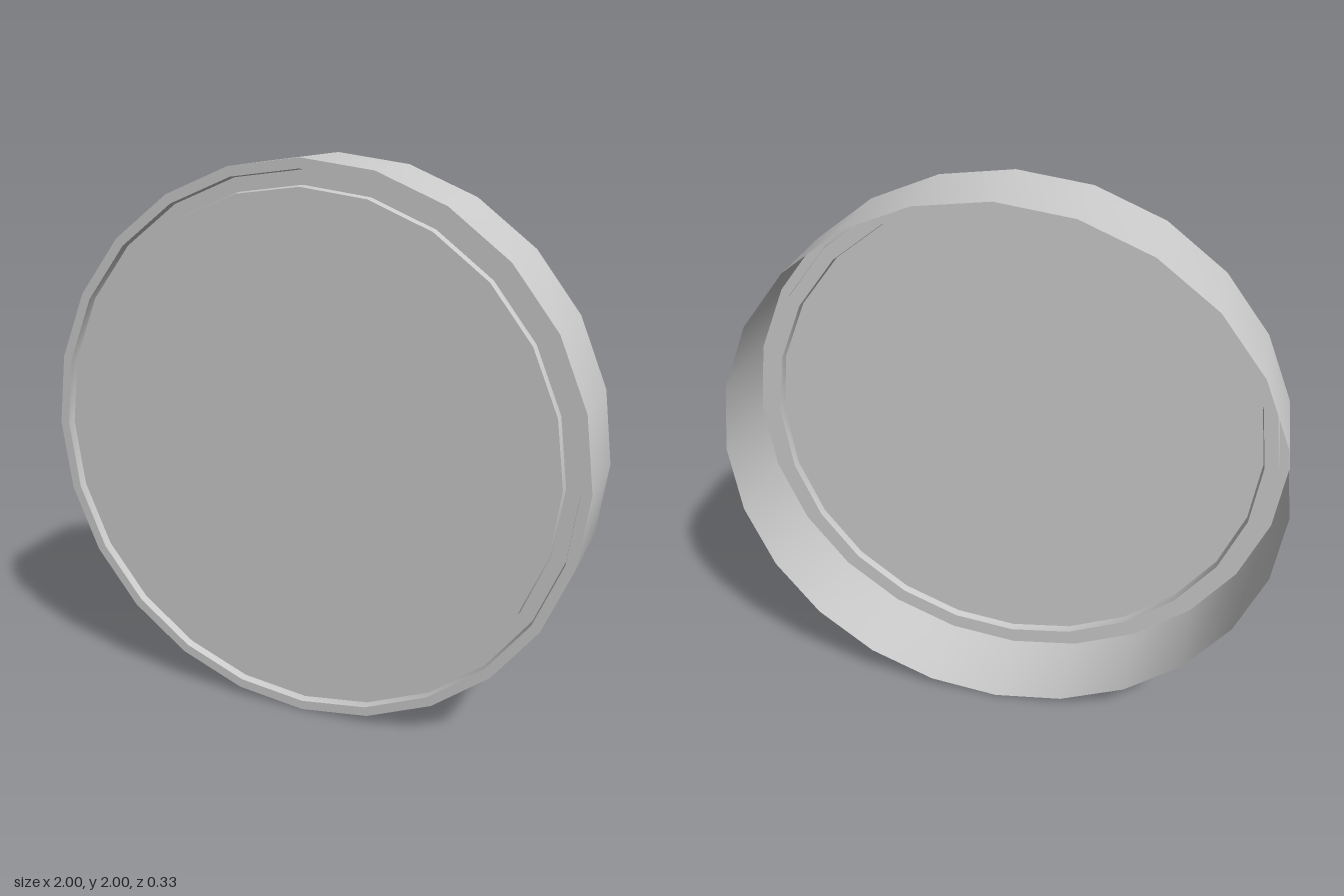
import * as THREE from 'three';
import { toCreasedNormals } from 'three/addons/utils/BufferGeometryUtils.js';

const SIDES = 24;
const HALF = 0.164; // half the depth of the lid
const GROOVE = 0.03; // depth of the groove in the front
const DISC = 0.908; // radius of the front panel

export function createModel() {
  const lid = new THREE.Group();
  lid.name = 'lid';
  const material = new THREE.MeshStandardMaterial({ color: 0xcccccc, side: THREE.DoubleSide });

  // A thin ring turned around z from [radius, z] points
  function addTurned(name, points) {
    const profile = points.map(([r, z]) => new THREE.Vector2(r, z));
    const geometry = new THREE.LatheGeometry(profile, SIDES).rotateX(Math.PI / 2);
    const mesh = new THREE.Mesh(toCreasedNormals(geometry, Math.PI / 6), material);
    mesh.name = name;
    lid.add(mesh);
  }

  // Outer wall, open at the back
  addTurned('sideWall', [[1, -HALF], [1, HALF]]);

  // Flat rim, then a groove running round the front panel
  addTurned('rimAndGroove', [
    [1, HALF],
    [0.965, HALF],
    [0.961, HALF - GROOVE],
    [DISC + 0.004, HALF - GROOVE],
    [DISC, HALF],
  ]);

  // Flat front panel, level with the rim
  const panel = new THREE.Mesh(new THREE.CircleGeometry(DISC, SIDES), material);
  panel.name = 'frontPanel';
  panel.position.z = HALF;
  lid.add(panel);

  lid.position.y = 1;
  const model = new THREE.Group();
  model.name = 'model';
  model.add(lid);
  return model;
}
